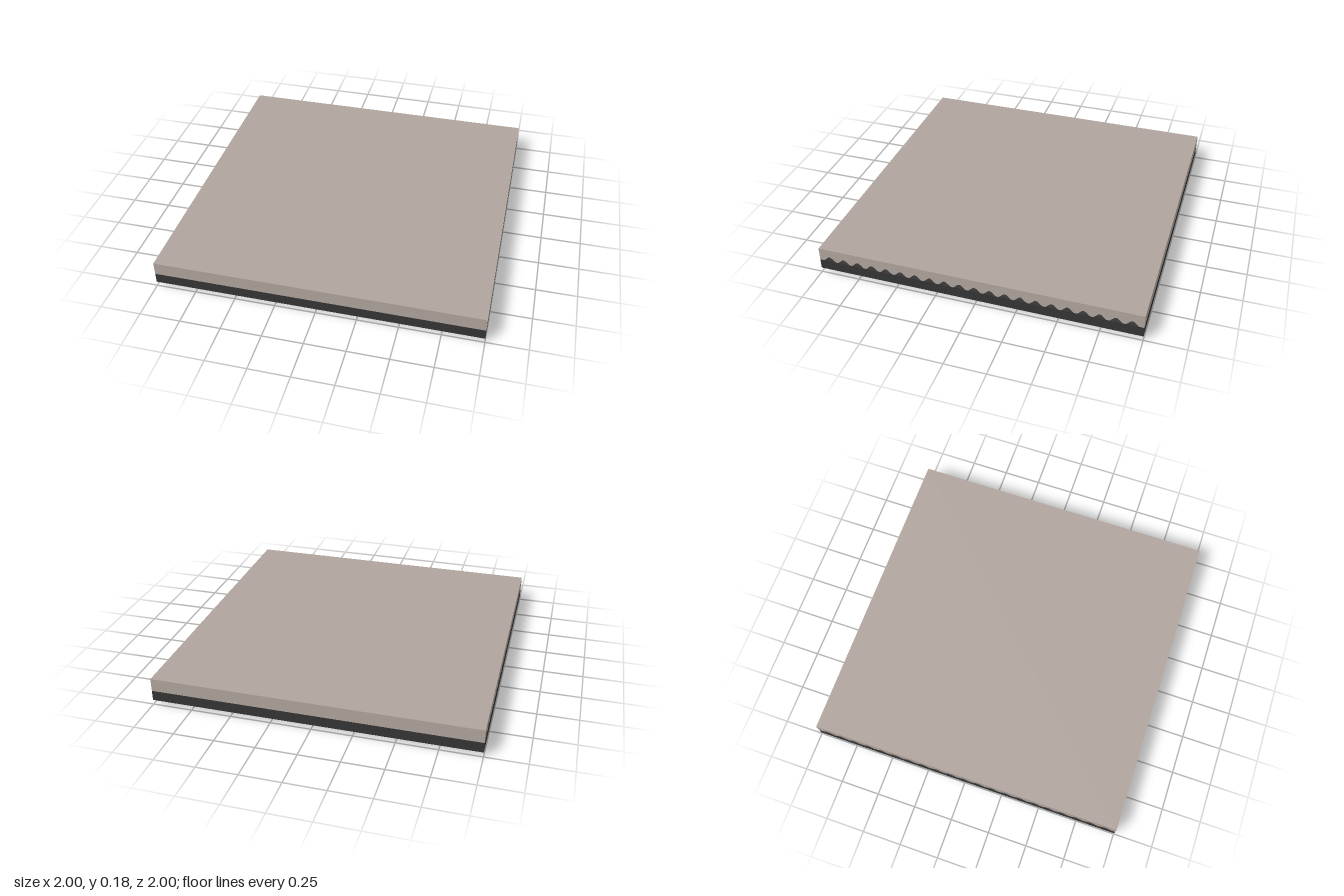
import * as THREE from 'three';
import { toCreasedNormals } from 'three/addons/utils/BufferGeometryUtils.js';

const mat = (name, color) => {
  const m = new THREE.MeshStandardMaterial({ color });
  m.name = name;
  return m;
};

export function createModel() {
  const root = new THREE.Group();
  const taupe = mat('taupe panel', 0xb0a59d);
  const dark = mat('dark frame', 0x353536);
  const grey = mat('grey metal', 0x96908b);

  const add = (name, geometry, material, parent = root) => {
    const mesh = new THREE.Mesh(geometry, material);
    mesh.name = name;
    parent.add(mesh);
    return mesh;
  };
  const box = (name, size, pos, material, parent) => {
    const mesh = add(name, new THREE.BoxGeometry(...size), material, parent);
    mesh.position.set(...pos);
    return mesh;
  };

  // Slab with a corrugated underside: 21 arches running along x
  const base = 0.095, pitch = 0.0933, steps = 10;
  const profile = new THREE.Shape();
  profile.moveTo(-1, 0.178);
  profile.lineTo(-1, base);
  for (let k = -10; k <= 10; k++) {
    for (let i = 0; i <= steps; i++) {
      const t = (i / steps - 0.5) * 0.84;
      const h = (Math.cos(t * Math.PI * 2) + 0.876) / 1.876;
      profile.lineTo((k + t) * pitch, base + 0.03 * Math.max(0, h));
    }
  }
  profile.lineTo(1, base);
  profile.lineTo(1, 0.178);
  const slab = new THREE.ExtrudeGeometry(profile, { depth: 2, bevelEnabled: false });
  slab.translate(0, 0, -1).rotateY(Math.PI / 2);
  add('corrugatedSlab', toCreasedNormals(slab, 0.6), taupe);

  // Square edge frame
  const square = (r, Type) => new Type([[-r, -r], [r, -r], [r, r], [-r, r]].map(p => new THREE.Vector2(...p)));
  const outline = square(1, THREE.Shape);
  outline.holes.push(square(0.9, THREE.Path));
  const frame = new THREE.ExtrudeGeometry(outline, { depth: 0.065, bevelEnabled: false });
  frame.rotateX(-Math.PI / 2).translate(0, 0.03, 0);
  add('edgeFrame', frame, dark);

  // Eight radial beams with end brackets and bolts
  for (let i = 0; i < 8; i++) {
    const arm = new THREE.Group();
    arm.name = 'radialBeam';
    arm.rotation.y = i * Math.PI / 4;
    root.add(arm);
    const diagonal = i % 2 === 1;
    const end = diagonal ? 1.31 : 0.96;
    const inner = diagonal ? 1.21 : 0.9;
    const start = 0.12;
    box('beam', [end - start, 0.079, 0.09], [(start + end) / 2, 0.0865, 0], taupe, arm);
    box('endBracket', [0.07, 0.006, 0.11], [inner - 0.045, 0.045, 0], grey, arm);
    for (const s of [-1, 1]) {
      box('bracketFlange', [0.05, 0.045, 0.006], [inner - 0.045, 0.066, s * 0.048], grey, arm);
      const bolt = add('bolt', new THREE.CylinderGeometry(0.008, 0.008, 0.006, 8), dark, arm);
      bolt.position.set(inner - 0.045, 0.04, s * 0.03);
    }
  }

  // Stepped hub plates and the small fitting below
  box('hubBlock', [0.27, 0.075, 0.27], [0, 0.0875, 0], taupe);
  box('hubPlate', [0.3, 0.012, 0.3], [0, 0.044, 0], taupe);
  box('hubInnerPlate', [0.18, 0.008, 0.18], [0, 0.034, 0], taupe);
  box('hubFitting', [0.052, 0.03, 0.027], [0, 0.015, 0], grey);
  for (const s of [-1, 1]) {
    const pin = add('fittingPin', new THREE.CylinderGeometry(0.006, 0.006, 0.004, 12), dark);
    pin.rotation.x = Math.PI / 2;
    pin.position.set(0, 0.015, s * 0.014);
  }

  return root;
}
